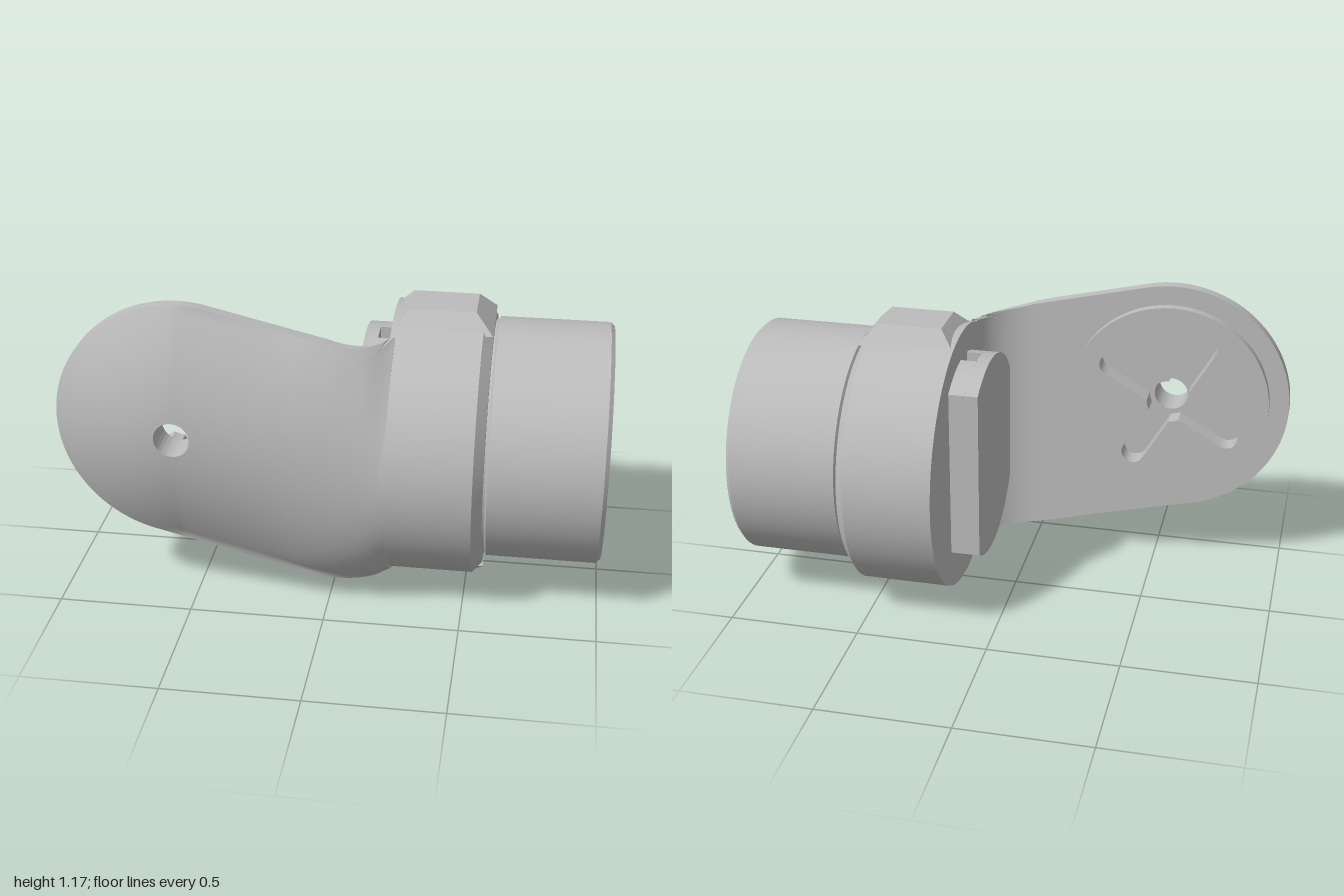
import * as THREE from 'three';
import { toCreasedNormals } from 'three/addons/utils/BufferGeometryUtils.js';

const V = (x, y) => new THREE.Vector2(x, y);
const { lerp, smoothstep, clamp } = THREE.MathUtils;
const CY = 0.545;                       // collar axis height
const PIVOT = V(-0.54, 0.71);           // centre of the round arm end
const HOLE_R = 0.065, BOSS_R = 0.385, END_R = 0.46;

// Closed skin over a list of rings that all have the same number of points
function skin(rings) {
  const n = rings[0].length, pos = [], idx = [];
  rings.forEach(r => r.forEach(p => pos.push(p.x, p.y, p.z)));
  for (let i = 0; i < rings.length - 1; i++) {
    for (let j = 0; j < n; j++) {
      const k = (j + 1) % n, a = i * n + j, b = a + n, c = (i + 1) * n + k, d = i * n + k;
      idx.push(a, b, c, a, c, d);
    }
  }
  const g = new THREE.BufferGeometry();
  g.setAttribute('position', new THREE.Float32BufferAttribute(pos, 3));
  g.setIndex(idx);
  return toCreasedNormals(g, 0.5);
}

// Extrude a shape, drawn as (-z, y), along x
function extrudeX(shape, x0, x1) {
  const g = new THREE.ExtrudeGeometry(shape, { depth: x1 - x0, bevelEnabled: false, curveSegments: 48 });
  g.rotateY(Math.PI / 2).translate(x0, 0, 0);
  return toCreasedNormals(g, 0.5);
}

// Turn a profile of (radius, x) points about the x direction
function latheX(points, cy) {
  const g = new THREE.LatheGeometry(points, 72);
  g.rotateZ(-Math.PI / 2).translate(0, cy, 0);
  return toCreasedNormals(g, 0.4);
}

function disc(r, x, y, T = THREE.Shape) {
  const s = new T();
  s.absarc(x, y, r, 0, Math.PI * 2, false);
  return s;
}

// Rounded rectangular opening
function windowPath() {
  const p = new THREE.Path(), x = 0.13, b = 0.43, t = 0.85, r = 0.035;
  p.moveTo(-x + r, b).lineTo(x - r, b).quadraticCurveTo(x, b, x, b + r);
  p.lineTo(x, t - r).quadraticCurveTo(x, t, x - r, t);
  p.lineTo(-x + r, t).quadraticCurveTo(-x, t, -x, t - r);
  p.lineTo(-x, b + r).quadraticCurveTo(-x, b, -x + r, b);
  return p;
}

// Inner face of the arm: flat, then a fillet into the collar
function innerZ(x) {
  const t = clamp(x / 0.2, 0, 1);
  return 0.2 + 0.125 * Math.sqrt(1 - t * t);
}

// Outer face of the arm: a thin edge plus a dome that turns into the round collar
function outerZ(x, y) {
  const t = clamp((x - PIVOT.x) / 0.74, 0, 1);
  const s = (y - lerp(PIVOT.y, 0.541, t)) / lerp(END_R, 0.48, t);
  const e = Math.max(0, (PIVOT.x - x) / END_R);
  const dome = Math.max(0, 1 - s * s - e * e);
  const round = Math.max(0, (Math.sqrt(Math.max(0.04, 0.2581 - (0.47 * s) ** 2)) - 0.2) / 0.308);
  const k = smoothstep(x, -0.3, 0.2);
  const edge = innerZ(x) + 0.045 * (1 - smoothstep(x, -0.1, 0.2));
  return edge + (0.509 - edge) * lerp(dome, round, k);
}

// Radius of the cross-shaped, round-ended slot in a given direction
function crossRadius(a) {
  const reach = 0.265, w = 0.045;
  let r = 0.085;
  for (let i = 0; i < 4; i++) {
    const d = a - THREE.MathUtils.degToRad(30 + 90 * i), sin = Math.abs(Math.sin(d));
    if (Math.cos(d) <= 0) continue;
    const onEnd = sin * Math.hypot(reach, w) < w;
    r = Math.max(r, onEnd ? reach * Math.cos(d) + Math.sqrt(w * w - (reach * sin) ** 2) : w / sin);
  }
  return r;
}

function armGeometries() {
  const deg = Math.PI / 180;
  const s = new THREE.Shape();
  s.moveTo(0.22, 0.062).lineTo(0.22, 1.022);
  s.quadraticCurveTo(0.1, 1.02, 0, 1.055);
  s.absarc(PIVOT.x, PIVOT.y, END_R, 78 * deg, 258 * deg, false);
  s.lineTo(-0.25, 0.165).quadraticCurveTo(0, 0.09, 0.22, 0.062);
  const outline = s.getSpacedPoints(300).slice(0, -1);
  const angles = outline.map(p => Math.atan2(p.y - PIVOT.y, p.x - PIVOT.x));
  const polar = rOf => angles.map(a => V(PIVOT.x + rOf(a) * Math.cos(a), PIVOT.y + rOf(a) * Math.sin(a)));
  const lift = (pts, zOf) => pts.map(p => new THREE.Vector3(p.x, p.y, zOf(p.x, p.y)));
  const mix = (A, B, t) => A.map((p, i) => p.clone().lerp(B[i], t));

  const hole = polar(() => HOLE_R), boss = polar(() => BOSS_R), cross = polar(crossRadius);
  const K = 24, floor = () => 0.37;
  const arm = [lift(hole, floor)];
  for (let i = 0; i <= K; i++) arm.push(lift(mix(hole, outline, i / K), outerZ));
  for (let i = 0; i <= K; i++) arm.push(lift(mix(outline, boss, i / K), innerZ));
  const plate = [lift(boss, () => 0.325), lift(boss, () => 0.29), lift(cross, () => 0.29),
    lift(cross, floor), lift(hole, floor)];
  return [skin(arm), skin(plate)];
}

export function createModel() {
  const model = new THREE.Group();
  model.name = 'elbowBracket';
  const grey = new THREE.MeshStandardMaterial({ color: 0xbcbcbc });
  grey.name = 'grey';
  const add = (name, geometry) => {
    const m = new THREE.Mesh(geometry, grey);
    m.name = name;
    model.add(m);
  };

  // Domed arm with its pivot hole, and the round plate with a cross slot
  const [arm, plate] = armGeometries();
  add('arm', arm);
  add('pivotPlate', plate);

  // Collar with a chamfered outer edge
  const collar = disc(0.51, 0, CY);
  collar.holes.push(windowPath());
  add('collar', extrudeX(collar, 0.2, 0.53));
  add('collarChamfer', latheX([V(0.51, 0.53), V(0.47, 0.565), V(0.42, 0.565)], CY));

  // Tapered lugs above and below the collar
  for (const side of [1, -1]) {
    const g = new THREE.BoxGeometry(1, 1, 1), p = g.attributes.position;
    for (let i = 0; i < p.count; i++) {
      const top = p.getY(i) > 0, right = p.getX(i) > 0;
      p.setXYZ(i, top ? (right ? 0.5 : 0.26) : (right ? 0.565 : 0.2),
        top ? 0.545 : 0.478, Math.sign(p.getZ(i)) * (top ? 0.09 : 0.15));
    }
    if (side < 0) g.rotateX(Math.PI);
    g.translate(0, CY, 0);
    g.computeVertexNormals();
    add(side > 0 ? 'topLug' : 'bottomLug', g);
  }

  // Spigot: outer wall with a small neck groove and a chamfered end
  const SY = 0.555;
  add('spigotWall', latheX([V(0.438, 0.55), V(0.438, 0.572), V(0.451, 0.58), V(0.451, 0.985), V(0.437, 1)], SY));

  // Rim around the pocket
  const rim = disc(0.437, 0, SY);
  const pocket = new THREE.Path();
  pocket.moveTo(-0.425, 0.56).lineTo(-0.41, 0.47).lineTo(-0.01, 0.13).lineTo(0.1, 0.14).lineTo(0.25, 0.35);
  pocket.quadraticCurveTo(0.415, 0.555, 0.26, 0.735);
  pocket.lineTo(0.03, 0.965).lineTo(-0.01, 0.978).lineTo(-0.1, 0.965).closePath();
  rim.holes.push(pocket);
  add('spigotRim', extrudeX(rim, 0.8, 1));

  // Pocket floor with the window and three screw holes
  const base = disc(0.437, 0, SY);
  base.holes.push(windowPath());
  for (const [x, y] of [[-0.045, 0.94], [-0.385, 0.515], [0.04, 0.17]]) {
    base.holes.push(disc(0.032, x, y, THREE.Path));
  }
  add('pocketFloor', extrudeX(base, 0.5, 0.8));

  // Housing behind the collar: a disc with two flat sides
  const cx = 0.02, cy = 0.565, r = 0.39, right = 0.23, left = -0.29;
  const arc = (x0, x1, sign) => Array.from({ length: 17 }, (_, i) => {
    const x = lerp(x0, x1, i / 16);
    return V(x, cy + sign * Math.sqrt(r * r - (x - cx) ** 2));
  });
  add('housingBack', extrudeX(new THREE.Shape([...arc(left, right, -1), ...arc(right, left, 1)]), 0.09, 0.14));
  // Its wall is open at the top for a cable channel
  const w = 0.045;
  add('housingWall', extrudeX(new THREE.Shape([
    ...arc(-w, left, 1), ...arc(left, right, -1), ...arc(right, w, 1),
    V(w, 0.85), V(0.13, 0.85), V(0.13, 0.43), V(-0.13, 0.43), V(-0.13, 0.85), V(-w, 0.85),
  ]), 0.14, 0.2));

  return model;
}
